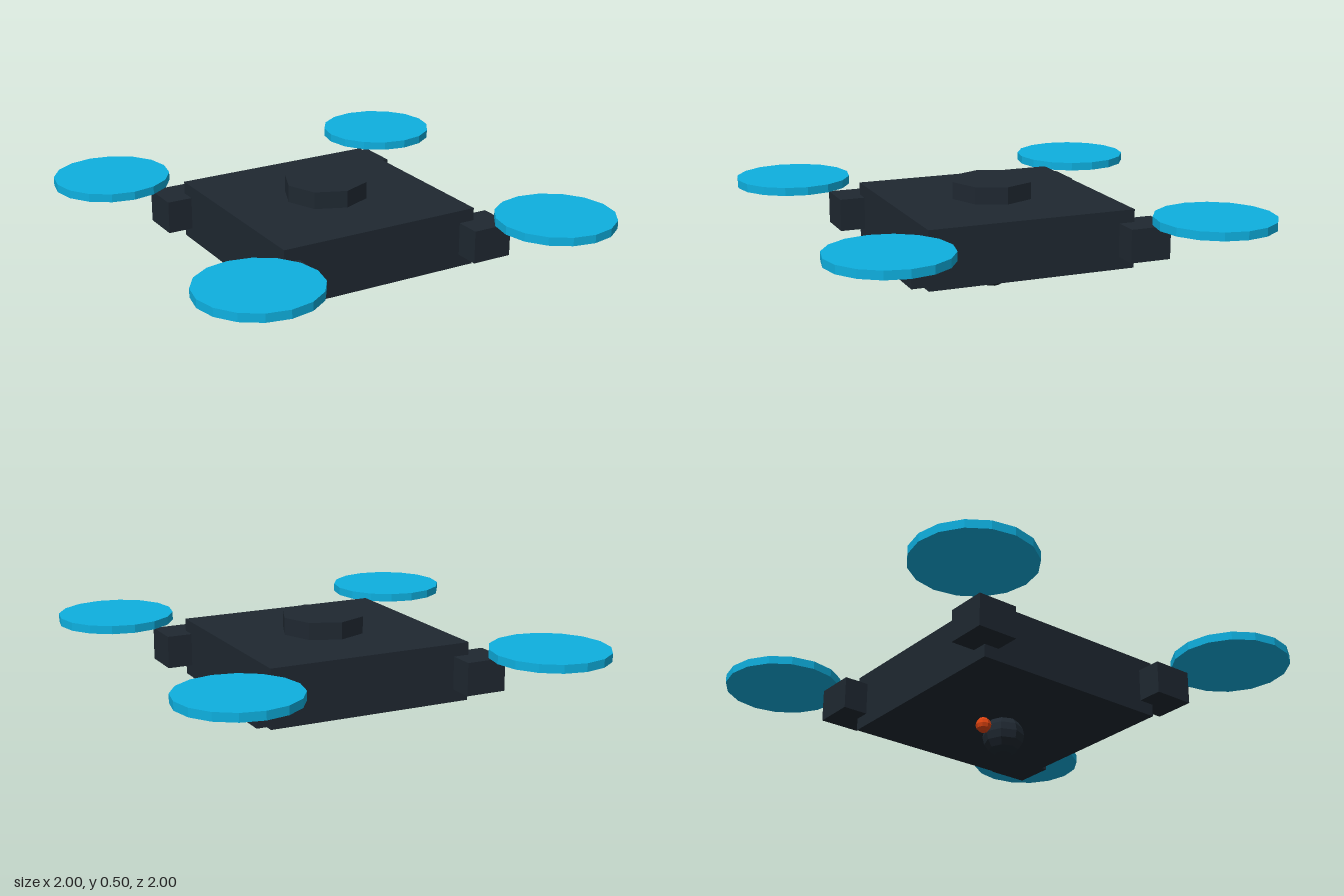
import * as THREE from 'three';

const paint = (color) => new THREE.MeshStandardMaterial({ color, flatShading: true });

export function createModel() {
  const model = new THREE.Group();
  model.name = 'quadcopter';
  const dark = paint(0x1f2831);
  const blue = paint(0x0eb0e0);
  const red = paint(0xe04410);

  const add = (name, geometry, material, x, y, z) => {
    const mesh = new THREE.Mesh(geometry, material);
    mesh.name = name;
    mesh.position.set(x, y, z);
    model.add(mesh);
  };

  // Square hull with an octagonal cap on top
  add('body', new THREE.BoxGeometry(0.956, 0.265, 0.956), dark, 0, 0.295, 0);
  add('topCap', new THREE.CylinderGeometry(0.19, 0.19, 0.155, 8), dark, 0, 0.428, 0);

  // Motor block and rotor disc at each corner
  const motor = new THREE.BoxGeometry(0.19, 0.15, 0.19);
  const rotor = new THREE.CylinderGeometry(0.268, 0.268, 0.038, 16);
  for (const [side, sx] of [['Left', 1], ['Right', -1]]) {
    for (const [end, sz] of [['front', 1], ['back', -1]]) {
      add(`${end}${side}Motor`, motor, dark, sx * 0.5, 0.295, sz * 0.5);
      add(`${end}${side}Rotor`, rotor, blue, sx * 0.732, 0.411, sz * 0.732);
    }
  }

  // Camera ball under the hull, with a small lamp behind it
  add('cameraBall', new THREE.SphereGeometry(0.095, 8, 8), dark, 0, 0.097, 0);
  add('lamp', new THREE.SphereGeometry(0.036, 8, 6), red, 0, 0.122, -0.114);

  return model;
}
